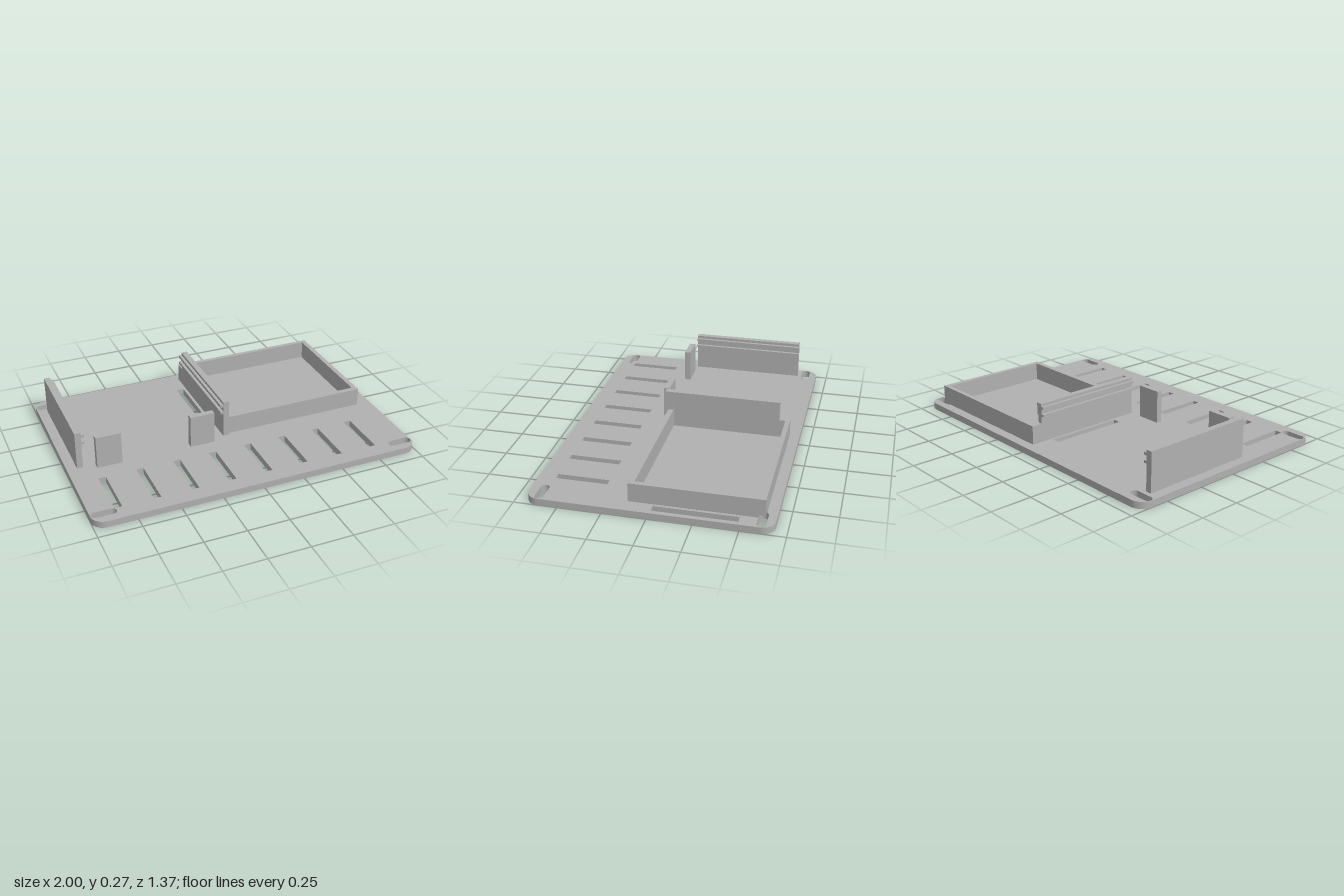
import * as THREE from 'three';

export function createModel() {
  const model = new THREE.Group();
  const grey = new THREE.MeshStandardMaterial({ color: 0xb0b0b0 });
  grey.name = 'grey plastic';

  const add = (name, geometry, parent = model) => {
    const mesh = new THREE.Mesh(geometry, grey);
    mesh.name = name;
    parent.add(mesh);
    return mesh;
  };
  const group = (name) => {
    const g = new THREE.Group();
    g.name = name;
    model.add(g);
    return g;
  };
  // Box given by its two extremes on each axis
  const box = (name, x0, x1, y0, y1, z0, z1, parent) =>
    add(name, new THREE.BoxGeometry(x1 - x0, y1 - y0, z1 - z0), parent)
      .position.set((x0 + x1) / 2, (y0 + y1) / 2, (z0 + z1) / 2);

  // Outline with rounded corners; the shape's y is the model's z
  const rounded = (Type, x0, x1, z0, z1, r) => {
    const p = new Type();
    p.absarc(x1 - r, z1 - r, r, 0, Math.PI / 2);
    p.absarc(x0 + r, z1 - r, r, Math.PI / 2, Math.PI);
    p.absarc(x0 + r, z0 + r, r, Math.PI, Math.PI * 1.5);
    p.absarc(x1 - r, z0 + r, r, Math.PI * 1.5, Math.PI * 2);
    p.closePath();
    return p;
  };
  const rect = (x0, x1, z0, z1) => new THREE.Path([
    [x0, z0], [x1, z0], [x1, z1], [x0, z1], [x0, z0],
  ].map(([x, z]) => new THREE.Vector2(x, z)));

  // Base plate with its slots
  const T = 0.04;
  const plate = rounded(THREE.Shape, -1, 1, -0.685, 0.685, 0.075);
  for (const z of [-0.613, 0.61]) {
    plate.holes.push(rounded(THREE.Path, -0.997, -0.85, z - 0.025, z + 0.025, 0.0249));
    plate.holes.push(rounded(THREE.Path, 0.85, 0.997, z - 0.025, z + 0.025, 0.0249));
  }
  for (let i = 0; i < 8; i++) {
    const x = -0.834 + i * 0.2257;
    plate.holes.push(rect(x - 0.022, x + 0.022, 0.285, 0.588));
  }
  plate.holes.push(rect(-0.091, -0.045, -0.492, -0.018));
  plate.holes.push(rect(0.927, 0.973, -0.492, -0.018));
  const plateGeometry = new THREE.ExtrudeGeometry(plate, { depth: T, bevelEnabled: false, curveSegments: 12 });
  plateGeometry.rotateX(Math.PI / 2).translate(0, T, 0);
  add('basePlate', plateGeometry);

  // Open tray; the back right corner clears the mounting slot
  const tray = group('tray');
  const H = 0.152;
  box('trayFrontWall', 0, 0.91, T, H, 0.093, 0.125, tray);
  box('trayRightWall', 0.88, 0.91, T, H, -0.588, 0.093, tray);
  box('trayBackWall', -0.027, 0.85, T, H, -0.625, -0.597, tray);
  box('trayBackCorner', 0.85, 0.91, T + 0.015, H, -0.625, -0.597, tray);
  box('trayRightCorner', 0.88, 0.91, T + 0.015, H, -0.597, -0.588, tray);
  box('trayLeftWall', -0.027, 0, T, H, -0.597, -0.56, tray);

  // Grooved rails: two ridges run along the inner face of each
  const Z0 = -0.56, Z1 = 0.142, TOP = 0.273;
  const ridges = (x0, x1, parent) => {
    for (const y of [0.195, 0.24]) box('railRidge', x0, x1, y, y + 0.016, Z0, Z1, parent);
  };
  const leftRail = group('outerRail');
  box('railWall', -0.94, -0.904, T, TOP, Z0, Z1, leftRail);
  ridges(-0.904, -0.885, leftRail);

  const rightRail = group('trayRail');
  box('railWall', -0.027, 0, T, TOP, Z0, Z1, rightRail);
  box('railLip', 0, 0.01, 0.2, TOP, Z0, Z1, rightRail);
  box('railFoot', 0, 0.01, T, 0.2, 0.095, Z1, rightRail);
  ridges(-0.045, -0.027, rightRail);

  // Upright stop tabs
  for (const x of [-0.83, -0.253]) box('stopTab', x, x + 0.152, T, 0.24, 0.145, 0.181);

  return model;
}
